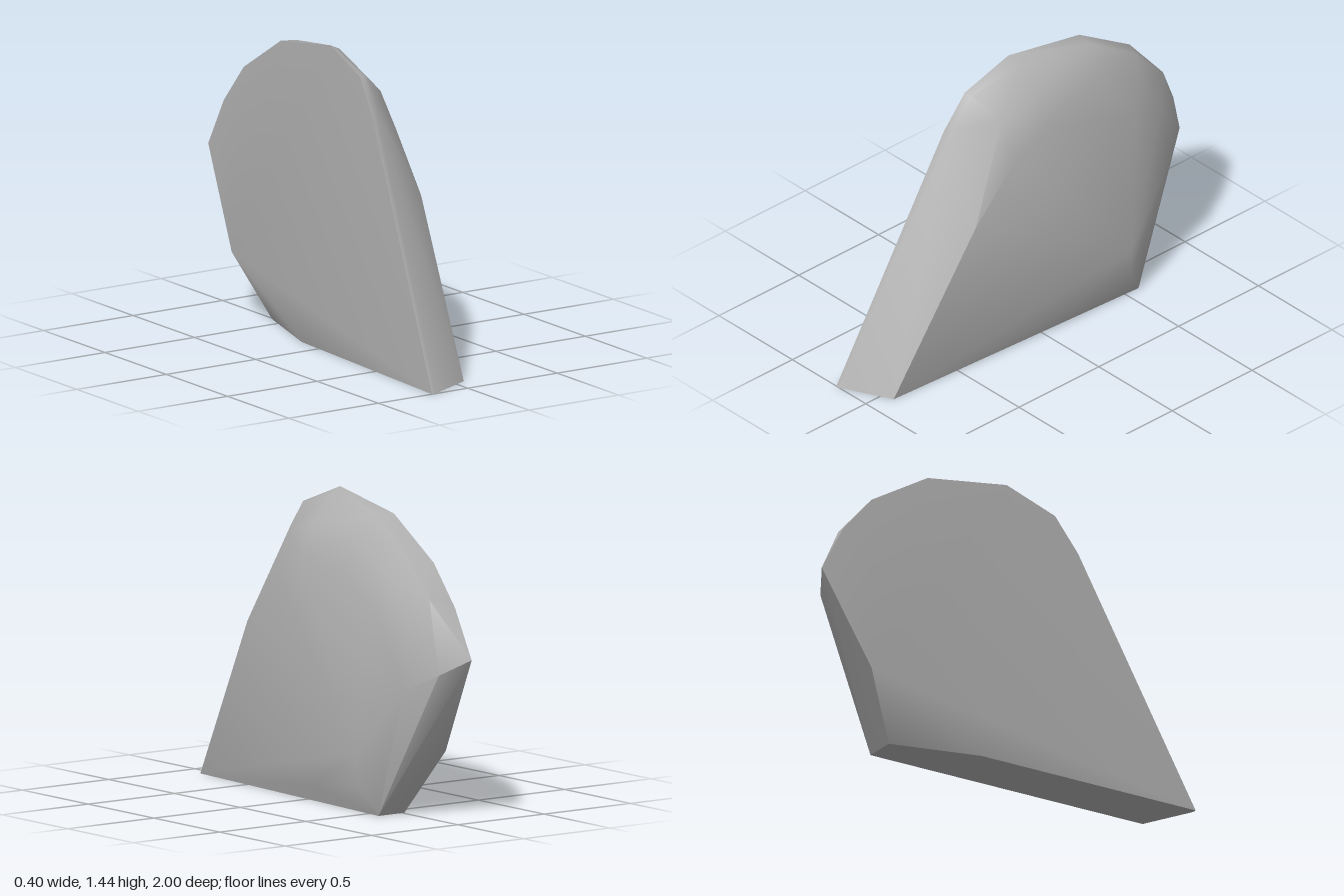
import * as THREE from 'three';
import { ConvexGeometry } from 'three/addons/geometries/ConvexGeometry.js';
import { toCreasedNormals } from 'three/addons/utils/BufferGeometryUtils.js';

// Cross-sections from the flat left-hand face across to the broad right-hand face, as [x, y, z]
const flatOutline = [
  [-0.2, 0, 1], [-0.12, 1.18, 0.4], [-0.108, 1.345, 0.28], [-0.095, 1.44, 0.02],
  [-0.079, 1.37, -0.41], [-0.074, 1.18, -0.72], [-0.075, 0.99, -0.88],
  [-0.08, 0.76, -1], [-0.12, 0.3, -0.75], [-0.14, 0, -0.15],
];
const rimOutline = [
  [-0.18, 0, 1], [-0.085, 1.19, 0.385], [-0.07, 1.34, 0.27], [-0.03, 1.41, 0],
  [0, 1.365, -0.4], [0.03, 1.215, -0.655], [0.035, 1.03, -0.83],
  [0.05, 0.69, -0.92], [-0.01, 0, -0.58],
];
const shoulderOutline = [
  [0.03, 1.09, 0.33], [0.06, 1.24, 0.2], [0.08, 1.29, 0],
  [0.09, 1.26, -0.37], [0.1, 1.09, -0.62], [0.11, 0.91, -0.75], [0.14, 0, -0.58],
];
const broadOutline = [
  [0.06, 0, 0.88], [0.13, 0.78, 0.43], [0.145, 1.05, 0.2], [0.15, 1.14, 0],
  [0.15, 1.12, -0.33], [0.16, 0.98, -0.55], [0.16, 0.82, -0.67],
  [0.14, 0.61, -0.77], [0.19, 0.13, -0.49], [0.2, 0.28, -0.48], [0.155, 0.08, -0.1],
];

export function createModel() {
  const model = new THREE.Group();
  model.name = 'stoneSlab';

  const stoneGrey = new THREE.MeshStandardMaterial({ color: 0xb0b0b0 });
  stoneGrey.name = 'stone grey';

  // Hull through the cross-sections: soft shoulders, sharp rim and base edges
  const points = [...flatOutline, ...rimOutline, ...shoulderOutline, ...broadOutline]
    .map((p) => new THREE.Vector3(...p));
  const slab = new THREE.Mesh(toCreasedNormals(new ConvexGeometry(points), 0.62), stoneGrey);
  slab.name = 'slab';
  model.add(slab);

  return model;
}
